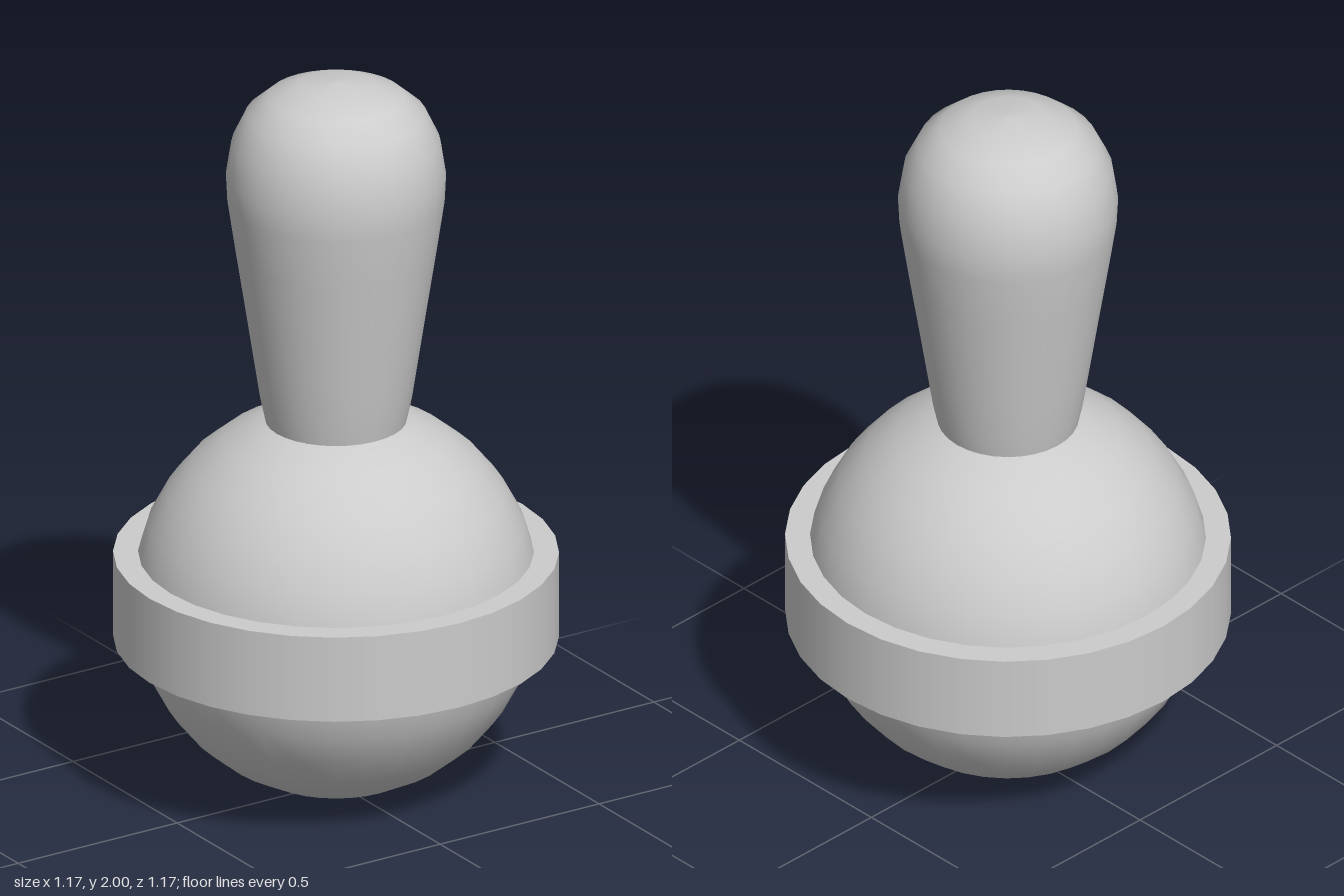
import * as THREE from 'three';

const SEGMENTS = 32;

export function createModel() {
  const model = new THREE.Group();
  const material = new THREE.MeshStandardMaterial({ color: 0xcccccc });

  const add = (name, geometry, y = 0) => {
    const mesh = new THREE.Mesh(geometry, material);
    mesh.name = name;
    mesh.position.y = y;
    model.add(mesh);
  };

  // Round body
  add('ballBody', new THREE.SphereGeometry(0.537, SEGMENTS, 16), 0.537);

  // Flat-edged band around the middle of the ball
  add('equatorBand', new THREE.CylinderGeometry(0.587, 0.587, 0.24, SEGMENTS), 0.54);

  // Flared handle with a domed top, rooted inside the ball
  const handleProfile = [
    [0.18, 1.0], [0.187, 1.04], [0.2, 1.1], [0.217, 1.21], [0.24, 1.36],
    [0.265, 1.52], [0.286, 1.66], [0.29, 1.74], [0.276, 1.83],
    [0.238, 1.91], [0.18, 1.96], [0.1, 1.992], [0, 2],
  ].map(([r, y]) => new THREE.Vector2(r, y));
  add('handle', new THREE.LatheGeometry(handleProfile, SEGMENTS));

  return model;
}
